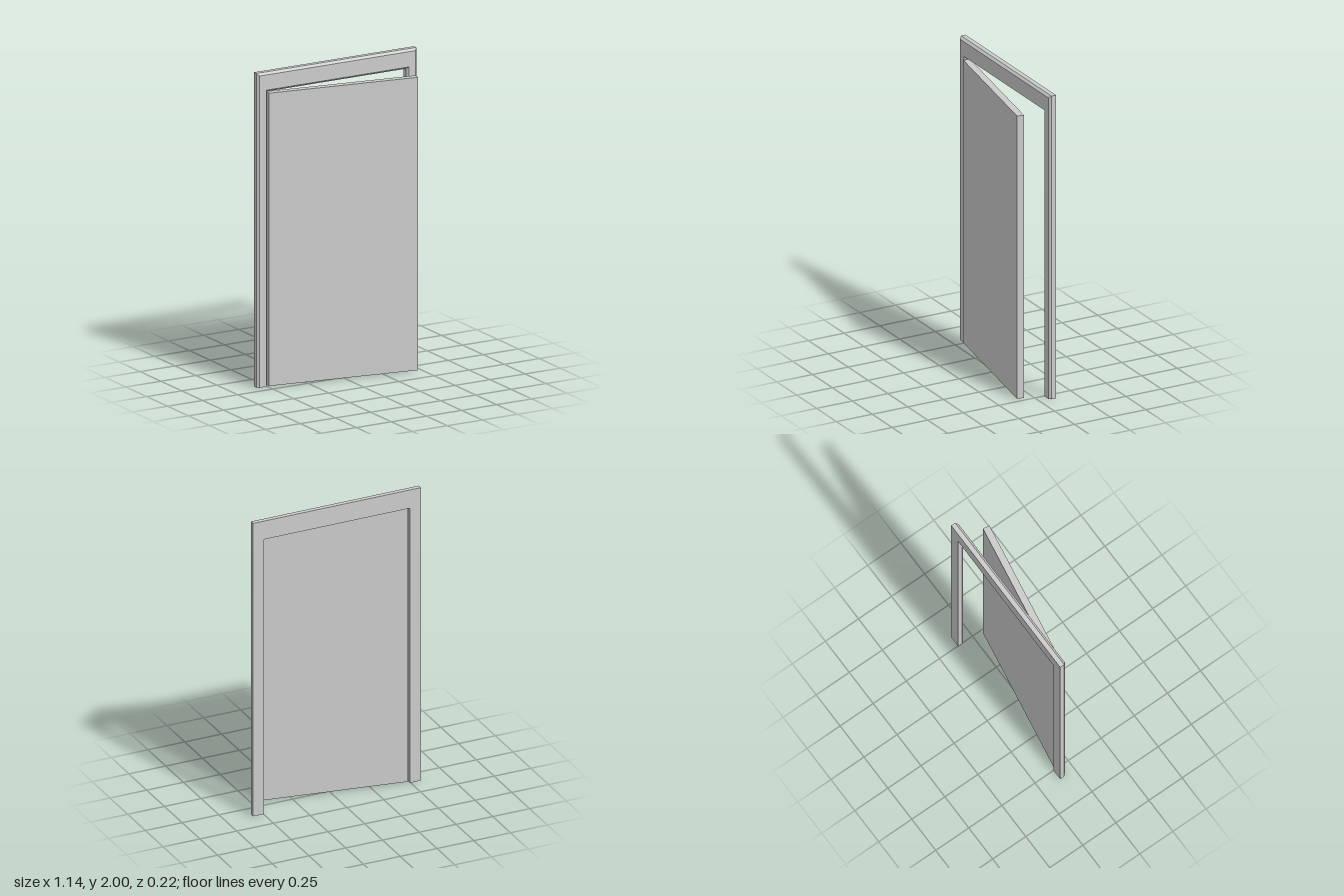
import * as THREE from 'three';

const material = new THREE.MeshStandardMaterial({ color: 0xcccccc, flatShading: true });

// Casing cross-section: [half width at the posts, height at the header, z]
const PROFILE = [
  [0.497, 1.875, -0.11],
  [0.497, 1.875, -0.08],
  [0.508, 1.888, -0.065],
  [0.555, 1.985, -0.065],
  [0.57, 2.0, -0.08],
  [0.57, 2.0, -0.11],
];

// Sweep the chamfered section up one post, across the header and down the other, mitred at the corners
function frameGeometry() {
  const n = PROFILE.length;
  const positions = [];
  const index = [];
  for (const [side, top] of [[1, 0], [1, 1], [-1, 1], [-1, 0]]) {
    for (const [x, y, z] of PROFILE) positions.push(side * x, top * y, z);
  }
  for (let s = 0; s < 3; s++) {
    for (let j = 0; j < n; j++) {
      const k = (j + 1) % n;
      const a = s * n + j, b = s * n + k, c = b + n, d = a + n;
      index.push(a, b, c, a, c, d);
    }
  }
  // Feet of the two posts
  for (let j = 1; j < n - 1; j++) {
    index.push(0, j + 1, j);
    index.push(3 * n, 3 * n + j, 3 * n + j + 1);
  }
  const indexed = new THREE.BufferGeometry();
  indexed.setAttribute('position', new THREE.Float32BufferAttribute(positions, 3));
  indexed.setIndex(index);
  const geometry = indexed.toNonIndexed();
  geometry.computeVertexNormals();
  return geometry;
}

export function createModel() {
  const model = new THREE.Group();
  model.name = 'door';

  const frame = new THREE.Mesh(frameGeometry(), material);
  frame.name = 'doorFrame';
  model.add(frame);

  // Door leaf, swung slightly open about its front hinge edge
  const width = 0.98, height = 1.865, thickness = 0.045;
  const leafGeometry = new THREE.BoxGeometry(width, height, thickness);
  leafGeometry.translate(width / 2, height / 2, -thickness / 2);
  const leaf = new THREE.Mesh(leafGeometry, material);
  leaf.name = 'doorLeaf';
  leaf.position.set(-0.495, 0.005, -0.054);
  leaf.rotation.y = THREE.MathUtils.degToRad(-9.5);
  model.add(leaf);

  return model;
}
